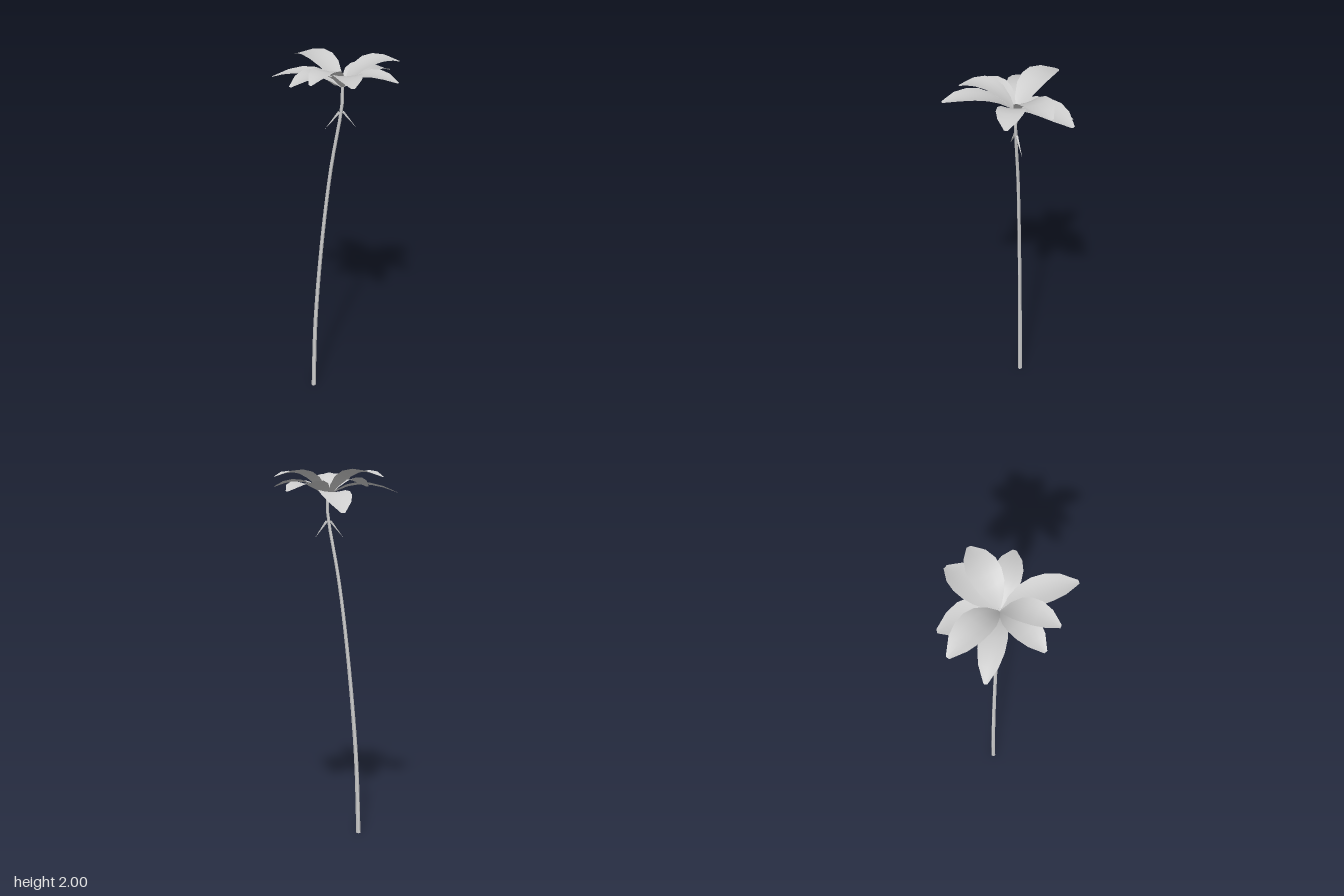
import * as THREE from 'three';

export function createModel() {
  const group = new THREE.Group();
  const grey = new THREE.MeshStandardMaterial({ color: 0xcccccc, side: THREE.DoubleSide });
  grey.name = 'light grey';

  const add = (name, geometry) => {
    const mesh = new THREE.Mesh(geometry, grey);
    mesh.name = name;
    group.add(mesh);
    return mesh;
  };
  const faceted = (geometry) => {
    const flat = geometry.toNonIndexed();
    flat.computeVertexNormals();
    return flat;
  };

  // Curved, tapering stem
  const path = new THREE.CatmullRomCurve3([
    [-0.13, 0, 0.05], [-0.118, 0.4, 0.045], [-0.09, 0.8, 0.037], [-0.05, 1.2, 0.027],
    [-0.017, 1.45, 0.02], [0.032, 1.72, 0.014], [0.04, 1.79, 0.012], [0.04, 1.875, 0.01],
  ].map((p) => new THREE.Vector3(...p)));
  const stem = new THREE.TubeGeometry(path, 20, 0.0125, 6);
  const v = new THREE.Vector3();
  for (let i = 0; i < stem.attributes.position.count; i++) {
    const t = stem.attributes.uv.getX(i);
    const centre = path.getPointAt(t);
    v.fromBufferAttribute(stem.attributes.position, i).sub(centre);
    v.multiplyScalar(1 - 0.35 * t).add(centre);
    if (t === 0) v.y = 0;
    stem.attributes.position.setXYZ(i, v.x, v.y, v.z);
  }
  add('stem', faceted(stem));
  const foot = add('stemFoot', new THREE.CircleGeometry(0.0125, 6).rotateX(Math.PI / 2));
  foot.position.set(-0.13, 0, 0.05);

  // Two thin drooping sepals on opposite sides of the stem
  for (const side of [-1, 1]) {
    const top = new THREE.Vector3(0.034 + side * 0.008, 1.735, 0.013 - side * 0.007);
    const tip = new THREE.Vector3(0.03 + side * 0.062, 1.645, 0.013 - side * 0.054);
    const along = tip.clone().sub(top);
    const sepal = add('sepal', faceted(new THREE.ConeGeometry(0.008, along.length(), 4)));
    sepal.position.copy(top).add(tip).multiplyScalar(0.5);
    sepal.quaternion.setFromUnitVectors(new THREE.Vector3(0, 1, 0), along.normalize());
  }

  // Petals: an arched centre line, widened by a leaf profile and slightly cupped
  const root = new THREE.Vector3(0.038, 1.862, 0.01);
  const profile = [0.04, 0.52, 0.86, 1, 0.97, 0.72, 0.13];
  const rows = profile.length - 1;
  const addPetal = (x, y, z, halfWidth, archY) => {
    const tip = new THREE.Vector3(x, y, z);
    const bend = root.clone().lerp(tip, 0.38).setY(archY);
    const curve = new THREE.QuadraticBezierCurve3(root, bend, tip);
    const across = new THREE.Vector3(root.z - z, 0, x - root.x).normalize();
    const geometry = new THREE.PlaneGeometry(2, 1, 4, rows);
    const pos = geometry.attributes.position;
    for (let i = 0; i < pos.count; i++) {
      const u = pos.getX(i);
      const s = pos.getY(i) + 0.5;
      const w = halfWidth * profile[Math.round(s * rows)];
      const p = curve.getPoint(s).addScaledVector(across, u * w);
      p.y += 0.15 * w * u * u;
      pos.setXYZ(i, p.x, p.y, p.z);
    }
    geometry.computeVertexNormals();
    add('petal', geometry);
  };

  // Tip position, half width and height of the arch
  [
    [0.132, 1.885, -0.312, 0.09, 1.985],
    [0.235, 1.965, -0.236, 0.08, 2.045],
    [0.328, 1.92, -0.042, 0.07, 1.995],
    [0.268, 1.98, 0.303, 0.073, 2.03],
    [0.038, 1.96, 0.311, 0.066, 2.06],
    [-0.09, 1.925, 0.292, 0.072, 2.02],
    [-0.328, 1.885, 0.1, 0.065, 1.985],
    [-0.306, 1.96, -0.094, 0.078, 2.055],
    [-0.142, 1.775, -0.234, 0.085, 1.94],
  ].forEach((p) => addPetal(...p));

  return group;
}
